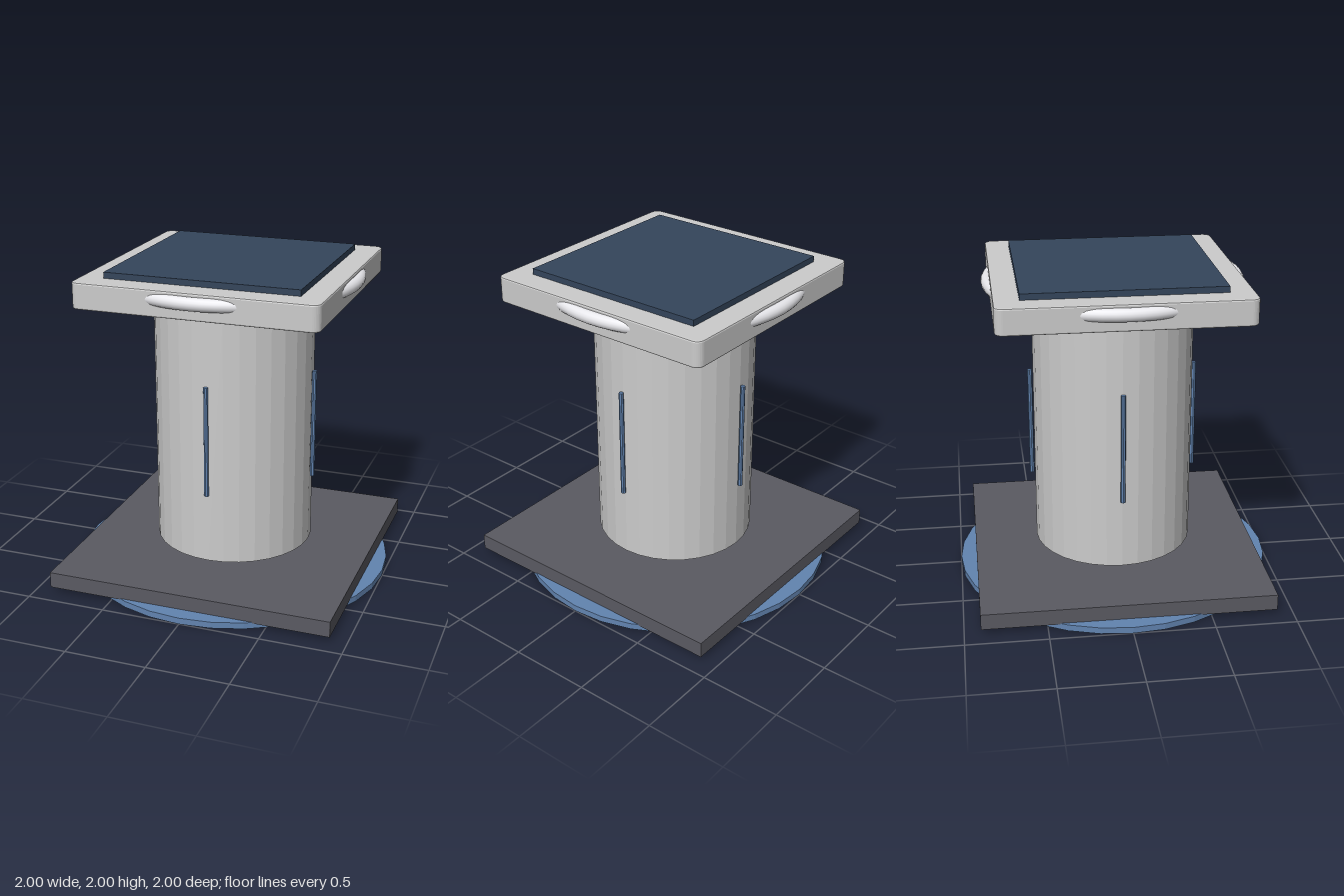
import * as THREE from 'three';

const material = (color, flatShading = true) => new THREE.MeshStandardMaterial({ color, flatShading });

export function createModel() {
  const model = new THREE.Group();
  const grey = material(0xcccccc);
  const blue = material(0x6284b0);
  const charcoal = material(0x5a5a62);
  const navy = material(0x34455b);
  const silver = material(0xe8e8ec, false);

  const add = (name, geometry, mat, x, y, z) => {
    const mesh = new THREE.Mesh(geometry, mat);
    mesh.name = name;
    mesh.position.set(x, y, z);
    model.add(mesh);
    return mesh;
  };

  // Base: round foot under a square plate
  add('footDisc', new THREE.CylinderGeometry(1, 1, 0.04, 32), blue, 0, 0.02, 0);
  add('basePlate', new THREE.BoxGeometry(1.8, 0.1, 1.8), charcoal, 0, 0.083, 0);

  // Column, floating between the base and the head
  add('column', new THREE.CylinderGeometry(0.5, 0.5, 1.6, 32), grey, 0, 0.98, 0);

  // Thin rods standing just off the column on its four sides
  for (let i = 0; i < 4; i++) {
    const a = (i * Math.PI) / 2;
    add('lightRod', new THREE.CylinderGeometry(0.015, 0.015, 0.7, 8), blue,
      0.52 * Math.sin(a), 0.98, 0.52 * Math.cos(a));
  }

  // Head slab: rounded square with a small bevel
  const bevel = 0.01, half = 0.74, r = 0.04;
  const outline = new THREE.Shape();
  outline.absarc(half - r, half - r, r, 0, Math.PI / 2);
  outline.absarc(r - half, half - r, r, Math.PI / 2, Math.PI);
  outline.absarc(r - half, r - half, r, Math.PI, Math.PI * 1.5);
  outline.absarc(half - r, r - half, r, Math.PI * 1.5, Math.PI * 2);
  const slab = new THREE.ExtrudeGeometry(outline, {
    depth: 0.14, bevelThickness: bevel, bevelSize: bevel, bevelSegments: 2, curveSegments: 4,
  });
  slab.rotateX(-Math.PI / 2);
  add('headSlab', slab, grey, 0, 1.803 + bevel, 0);

  // Ring that breaks through the middle of each slab side
  const ring = new THREE.TorusGeometry(0.76, 0.04, 16, 64);
  ring.rotateX(Math.PI / 2);
  add('headRing', ring, silver, 0, 1.905, 0);

  // Dark top panel
  add('topPanel', new THREE.BoxGeometry(1.2, 0.04, 1.2), navy, 0, 1.98, 0);

  return model;
}
